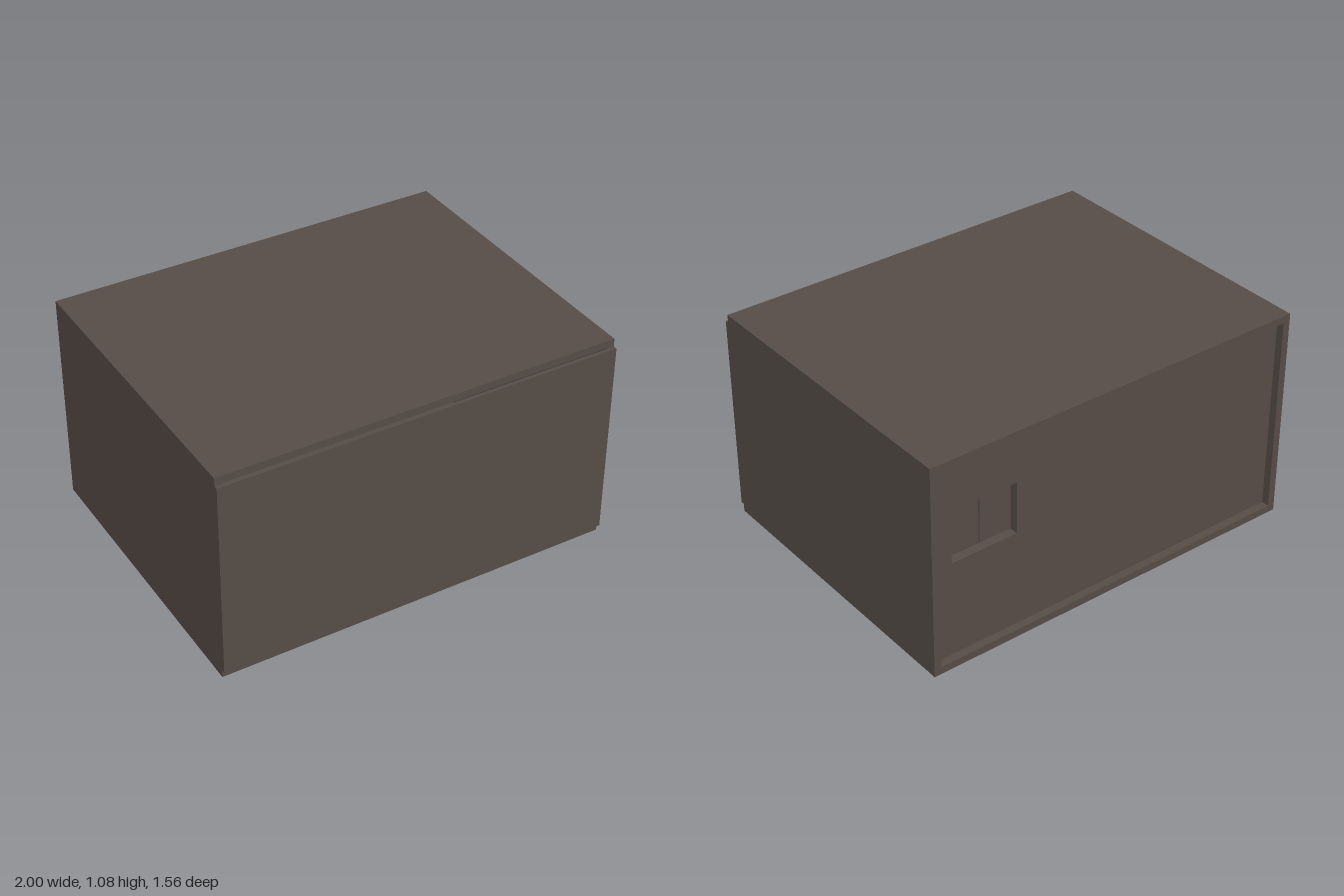
import * as THREE from 'three';

export function createModel() {
  const cabinet = new THREE.Group();
  cabinet.name = 'cabinet';
  const darkWood = new THREE.MeshStandardMaterial({ color: 0x564c47 });
  darkWood.name = 'dark wood';

  const W = 2, H = 1.08, T = 0.037;      // width, height, board thickness
  const back = -0.78, front = 0.76;      // carcass ends
  const recess = 0.04;                   // back panel sits inside the carcass

  // Board given by its minimum and maximum corners
  function board(name, [x0, y0, z0], [x1, y1, z1]) {
    const mesh = new THREE.Mesh(new THREE.BoxGeometry(x1 - x0, y1 - y0, z1 - z0), darkWood);
    mesh.position.set((x0 + x1) / 2, (y0 + y1) / 2, (z0 + z1) / 2);
    mesh.name = name;
    cabinet.add(mesh);
  }

  // Carcass
  const inner = W / 2 - T;
  board('leftSide', [inner, 0, back], [W / 2, H, front]);
  board('rightSide', [-W / 2, 0, back], [-inner, H, front]);
  board('bottomBoard', [-inner, 0, back], [inner, T, front]);
  board('topBoard', [-inner, H - T, back], [inner, H, front]);

  // Front panel, leaving a thin reveal above and below
  board('frontPanel', [-W / 2, 0.04, front], [W / 2, 1.04, 0.78]);

  // Recessed back panel with a rectangular cut-out
  const hole = { x0: 0.525, x1: 0.87, y0: 0.525, y1: 0.79 };
  const shape = new THREE.Shape([
    new THREE.Vector2(-inner, T), new THREE.Vector2(inner, T),
    new THREE.Vector2(inner, H - T), new THREE.Vector2(-inner, H - T),
  ]);
  shape.holes.push(new THREE.Path([
    new THREE.Vector2(hole.x0, hole.y0), new THREE.Vector2(hole.x0, hole.y1),
    new THREE.Vector2(hole.x1, hole.y1), new THREE.Vector2(hole.x1, hole.y0),
  ]));
  const depth = 0.045;
  const backPanel = new THREE.Mesh(
    new THREE.ExtrudeGeometry(shape, { depth, bevelEnabled: false }), darkWood);
  backPanel.position.z = back + recess;
  backPanel.name = 'backPanel';
  cabinet.add(backPanel);

  // Two plates closing the cut-out, one set slightly deeper
  const z = back + recess + depth, mid = 0.69;
  board('cutoutPlateRight', [hole.x0 - 0.03, hole.y0 - 0.03, z], [mid, hole.y1 + 0.03, z + 0.03]);
  board('cutoutPlateLeft', [mid, hole.y0 - 0.03, z + 0.008], [hole.x1 + 0.03, hole.y1 + 0.03, z + 0.03]);

  return cabinet;
}
